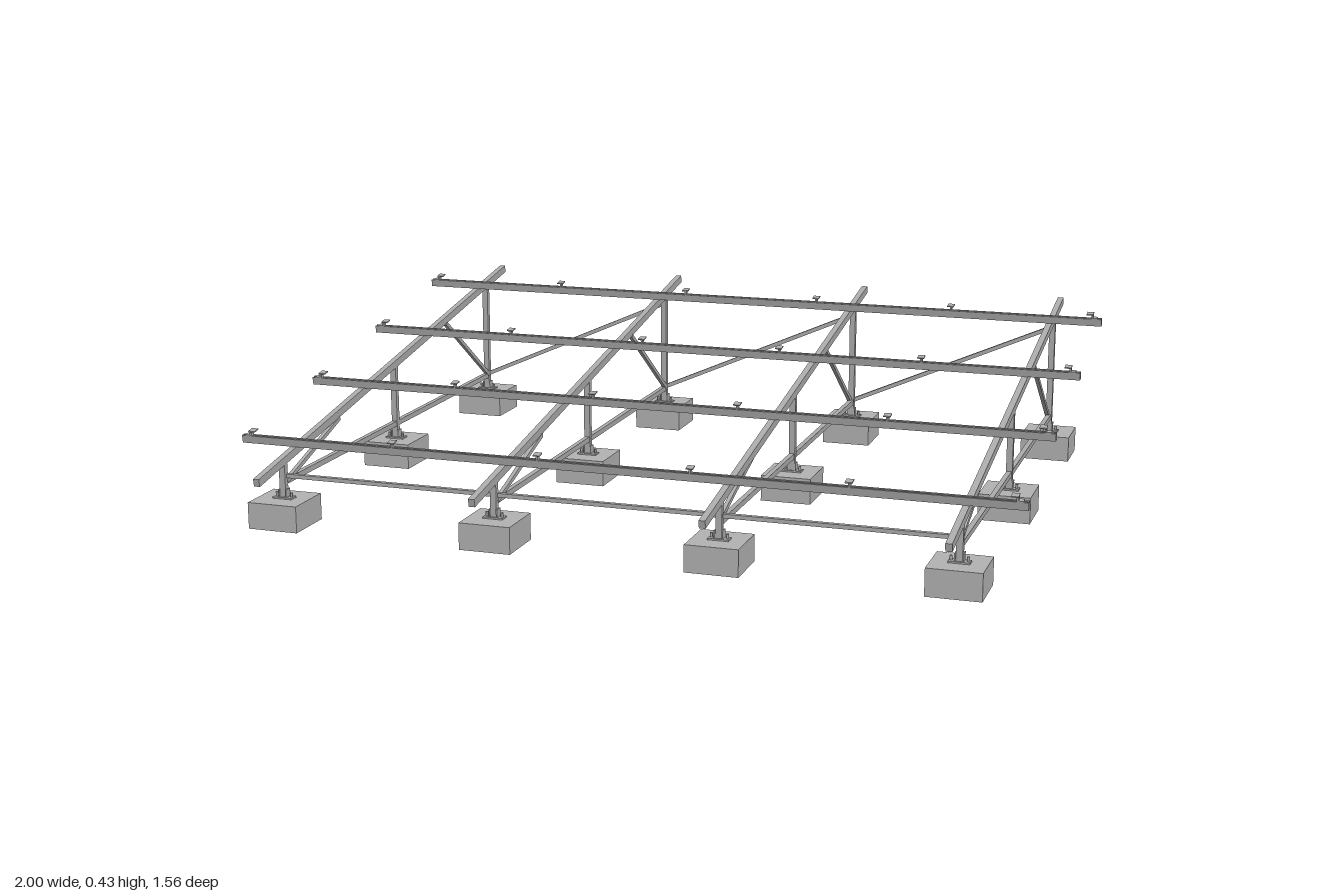
import * as THREE from 'three';

export function createModel() {
  const model = new THREE.Group();
  model.name = 'mountingFrame';
  const steel = new THREE.MeshStandardMaterial({ color: 0xacacac });
  steel.name = 'galvanised steel';
  const concrete = new THREE.MeshStandardMaterial({ color: 0xb2b2b2 });
  concrete.name = 'concrete';

  const frameX = [-0.857, -0.286, 0.286, 0.857];
  const postZ = [0.643, 0, -0.643];
  const purlinZ = [0.578, 0.193, -0.193, -0.578];
  const clampX = [-0.975, -0.583, -0.195, 0.195, 0.583, 0.975];
  const slope = THREE.MathUtils.degToRad(10);
  const midY = 0.279, footH = 0.068;
  const roofY = z => midY - Math.tan(slope) * z;

  function box(parent, name, size, pos, mat = steel) {
    const m = new THREE.Mesh(new THREE.BoxGeometry(...size), mat);
    m.name = name;
    m.position.set(...pos);
    parent.add(m);
    return m;
  }

  // Square bar running from point a to point b
  function bar(name, a, b, w, h) {
    const p = new THREE.Vector3(...a), q = new THREE.Vector3(...b);
    const mid = p.clone().add(q).multiplyScalar(0.5);
    const m = box(model, name, [w, h, p.distanceTo(q)], mid.toArray());
    m.lookAt(q);
  }

  // Footings, bolted base brackets and posts
  const boltGeo = new THREE.CylinderGeometry(0.0035, 0.0035, 0.012, 6);
  for (const x of frameX) {
    for (const z of postZ) {
      box(model, 'footing', [0.133, footH, 0.133], [x, footH / 2, z], concrete);
      box(model, 'basePlate', [0.052, 0.004, 0.026], [x, footH + 0.002, z]);
      for (const s of [-1, 1]) {
        box(model, 'baseLug', [0.003, 0.024, 0.022], [x + s * 0.0095, footH + 0.012, z]);
        const bolt = new THREE.Mesh(boltGeo, steel);
        bolt.name = 'anchorBolt';
        bolt.position.set(x + s * 0.02, footH + 0.009, z);
        model.add(bolt);
      }
      const top = roofY(z) - 0.005;
      box(model, 'post', [0.016, top - footH, 0.015], [x, (top + footH) / 2, z]);
    }

    // Long tie and knee braces of each frame
    bar('frameTie', [x, 0.11, 0.643], [x, 0.11, -0.643], 0.013, 0.014);
    const bx = x - Math.sign(x) * 0.004;
    bar('frontBrace', [bx, 0.11, 0.638], [bx, 0.205, 0.345], 0.01, 0.011);
    bar('rearBrace', [bx, 0.11, -0.643], [bx, 0.328, -0.337], 0.01, 0.011);
  }

  // Front cross tie, and one rising diagonal in each rear bay
  bar('frontCrossTie', [-0.857, 0.125, 0.636], [0.857, 0.125, 0.636], 0.012, 0.01);
  for (let i = 0; i < 3; i++) {
    bar('rearDiagonal', [frameX[i], 0.113, -0.648], [frameX[i + 1], 0.365, -0.648], 0.012, 0.011);
  }

  // Sloping deck: everything inside is laid out flat, then tilted
  const deck = new THREE.Group();
  deck.name = 'slopingDeck';
  deck.position.y = midY;
  deck.rotation.x = slope;
  model.add(deck);
  for (const x of frameX) box(deck, 'rafter', [0.016, 0.02, 1.58], [x, 0, 0]);

  // Slotted channel profile for the purlins
  const w = 0.0065, h = 0.02, t = 0.002, lip = 0.0025;
  const profile = new THREE.Shape([
    [-w, 0], [w, 0], [w, h], [lip, h], [lip, h - t], [w - t, h - t],
    [w - t, t], [t - w, t], [t - w, h - t], [-lip, h - t], [-lip, h], [-w, h],
  ].map(p => new THREE.Vector2(...p)));
  const channel = new THREE.ExtrudeGeometry(profile, { depth: 2, bevelEnabled: false });
  channel.translate(0, 0, -1).rotateY(Math.PI / 2);

  for (const z of purlinZ) {
    const zd = z / Math.cos(slope);
    const purlin = new THREE.Mesh(channel, steel);
    purlin.name = 'purlin';
    purlin.position.set(0, 0.01, zd);
    deck.add(purlin);

    // Panel clamps: T-shaped between panels, stepped at the ends
    clampX.forEach((x, i) => {
      const end = i === 0 ? 1 : i === 5 ? -1 : 0;
      box(deck, 'clampStem', [0.005, 0.014, 0.012], [x, 0.036, zd]);
      box(deck, 'clampHead', [0.018, 0.003, 0.02], [x + end * 0.006, 0.0435, zd]);
      if (end) box(deck, 'clampFoot', [0.016, 0.003, 0.014], [x - end * 0.006, 0.0315, zd]);
    });
  }
  return model;
}
